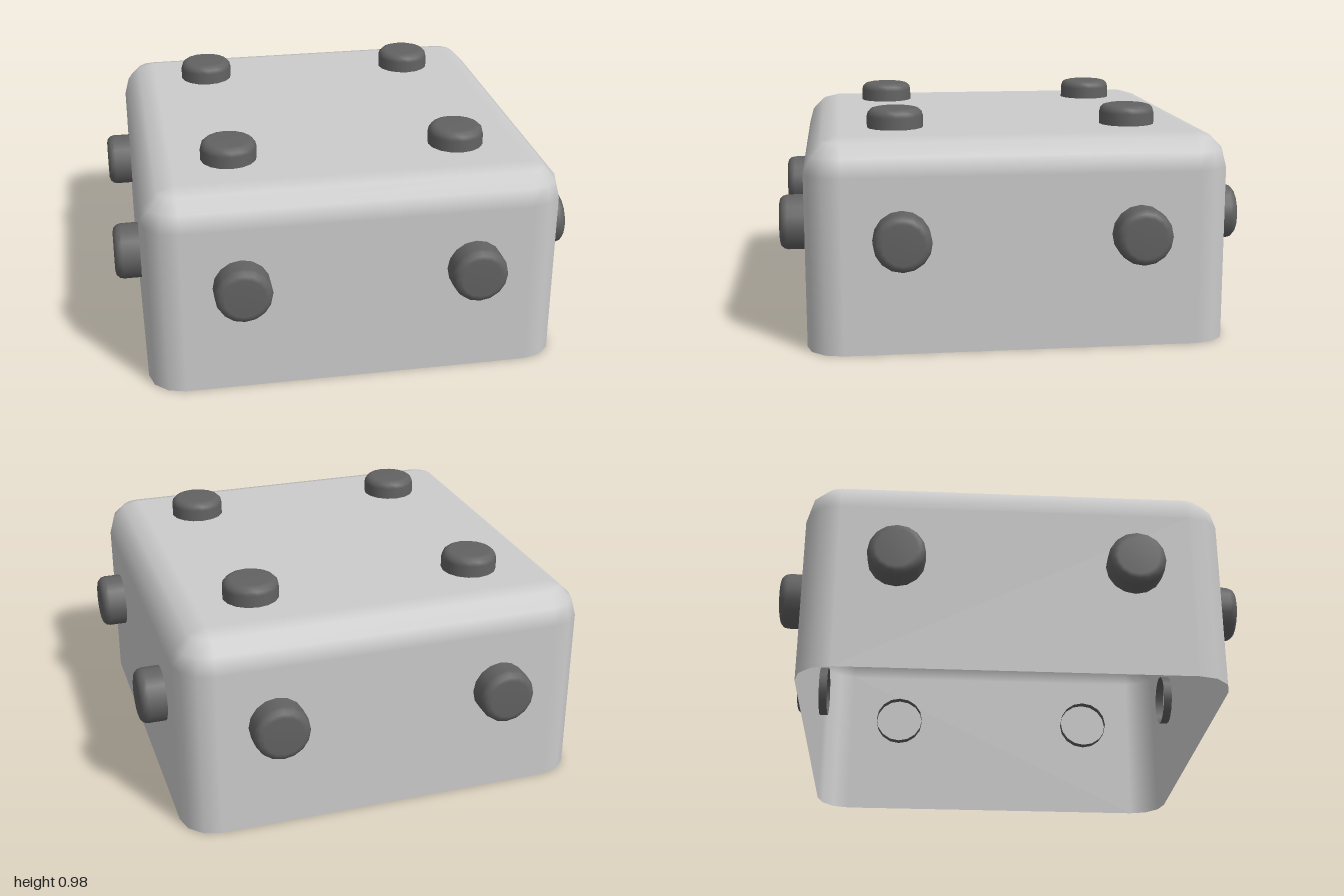
import * as THREE from 'three';

const HALF = 0.89, HEIGHT = 0.89, R = 0.15, SEG = 3;

// Open-bottomed rounded box: stacked rounded-square rings closed by a flat top
function shellGeometry() {
  const pos = [], nor = [], idx = [];
  const inner = HALF - R, count = 4 * (SEG + 1);
  const addRing = (y, lift) => {
    for (let c = 0; c < 4; c++) {
      const mid = Math.PI / 4 + c * Math.PI / 2;
      const cx = Math.sign(Math.cos(mid)) * inner, cz = Math.sign(Math.sin(mid)) * inner;
      for (let i = 0; i <= SEG; i++) {
        const a = (c + i / SEG) * Math.PI / 2;
        const nx = Math.cos(a) * Math.cos(lift), nz = Math.sin(a) * Math.cos(lift);
        pos.push(cx + R * nx, y, cz + R * nz);
        nor.push(nx, Math.sin(lift), nz);
      }
    }
  };
  addRing(0, 0);
  for (let k = 0; k <= SEG; k++) {
    const lift = k / SEG * Math.PI / 2;
    addRing(HEIGHT - R + R * Math.sin(lift), lift);
  }
  for (let r = 0; r <= SEG; r++) {
    for (let i = 0; i < count; i++) {
      const a = r * count + i, b = r * count + (i + 1) % count;
      idx.push(a, a + count, b, b, a + count, b + count);
    }
  }
  // Flat top
  const top = (SEG + 1) * count, s = SEG + 1;
  idx.push(top, top + 2 * s, top + s, top, top + 3 * s, top + 2 * s);
  const geo = new THREE.BufferGeometry();
  geo.setAttribute('position', new THREE.Float32BufferAttribute(pos, 3));
  geo.setAttribute('normal', new THREE.Float32BufferAttribute(nor, 3));
  geo.setIndex(idx);
  return geo;
}

// Stud: short tube with a rounded, closed outer end at y = 0 and an open inner end
function studGeometry() {
  const radius = 0.12, bevel = 0.035, length = 0.15;
  const points = [new THREE.Vector2(radius, -length)];
  for (let i = 0; i <= 3; i++) {
    const a = i / 3 * Math.PI / 2;
    points.push(new THREE.Vector2(radius - bevel + bevel * Math.cos(a), -bevel + bevel * Math.sin(a)));
  }
  points.push(new THREE.Vector2(0, 0));
  return new THREE.LatheGeometry(points, 16);
}

export function createModel() {
  const model = new THREE.Group();
  const shellMaterial = new THREE.MeshStandardMaterial({ color: 0xcccccc, side: THREE.DoubleSide });
  const studMaterial = new THREE.MeshStandardMaterial({ color: 0x626262, side: THREE.DoubleSide });

  const shell = new THREE.Mesh(shellGeometry(), shellMaterial);
  shell.name = 'shell';
  model.add(shell);

  const geometry = studGeometry();
  const up = new THREE.Vector3(0, 1, 0);
  const addStud = (name, position, direction) => {
    const stud = new THREE.Mesh(geometry, studMaterial);
    stud.name = name;
    stud.position.set(...position);
    stud.quaternion.setFromUnitVectors(up, new THREE.Vector3(...direction));
    model.add(stud);
  };

  // Two studs on each wall and four on the top
  const y = 0.485;
  for (const p of [-0.493, 0.495]) {
    addStud('frontStud', [p, y, 1], [0, 0, 1]);
    addStud('backStud', [p, y, -1], [0, 0, -1]);
    addStud('leftStud', [1, y, p], [1, 0, 0]);
    addStud('rightStud', [-1, y, p], [-1, 0, 0]);
    for (const z of [-0.51, 0.5]) addStud('topStud', [p, 0.975, z], [0, 1, 0]);
  }
  return model;
}
